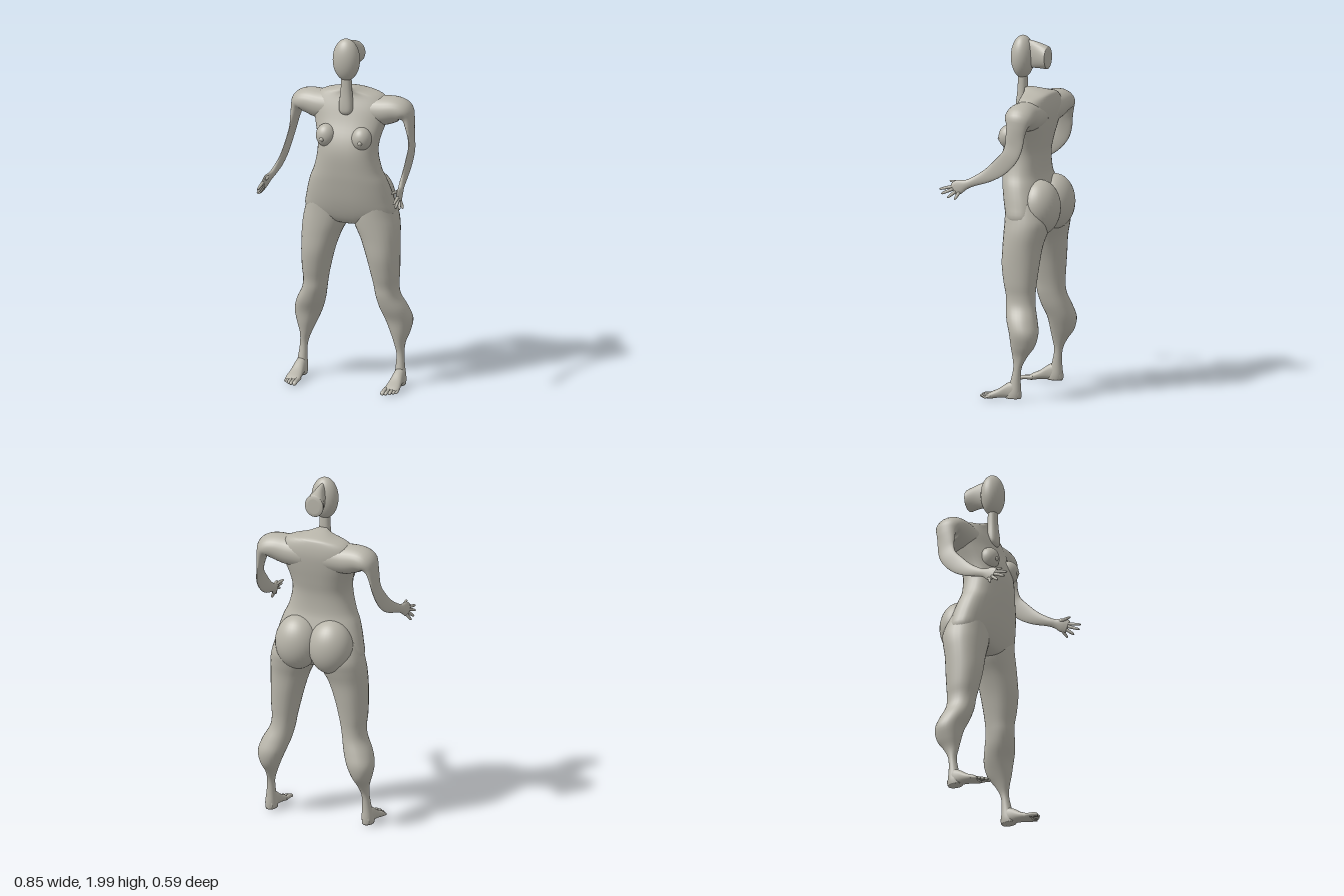
import * as THREE from 'three';

const skin = new THREE.MeshStandardMaterial({ color: 0xb8b5aa });
skin.name = 'warm grey';

// Catmull-Rom interpolation of number rows
function smoothRows(rows, steps) {
  const out = [], last = rows.length - 1;
  const row = i => rows[Math.min(Math.max(i, 0), last)];
  for (let i = 0; i < last; i++) {
    for (let s = 0; s < steps; s++) {
      const t = s / steps, [a, b, c, d] = [row(i - 1), row(i), row(i + 1), row(i + 2)];
      out.push(b.map((v, k) => v + 0.5 * t * (c[k] - a[k] +
        t * (2 * a[k] - 5 * v + 4 * c[k] - d[k] + t * (3 * (v - c[k]) + d[k] - a[k])))));
    }
  }
  out.push(rows[last]);
  return out;
}

// Closed skin over sections [x, y, z, halfAcross, halfDeep].
// "deep" is the starting depth direction; "along" fixes the section planes.
function loft(sections, { deep = [0, 0, 1], along = null, power = 2, sides = 28, steps = 4 } = {}) {
  const rows = smoothRows(sections, steps), pos = [], idx = [];
  const W = new THREE.Vector3(...deep), T = new THREE.Vector3(), N = new THREE.Vector3();
  const at = i => new THREE.Vector3(...rows[Math.min(Math.max(i, 0), rows.length - 1)].slice(0, 3));
  const bulge = v => Math.sign(v) * Math.abs(v) ** (2 / power);
  rows.forEach((r, i) => {
    if (along) T.set(...along);
    else T.copy(at(i + 1)).sub(at(i - 1)).normalize();
    W.addScaledVector(T, -W.dot(T)).normalize();
    N.crossVectors(W, T);
    for (let j = 0; j < sides; j++) {
      const a = (j / sides) * Math.PI * 2;
      const p = at(i).addScaledVector(N, r[3] * bulge(Math.cos(a))).addScaledVector(W, r[4] * bulge(Math.sin(a)));
      pos.push(p.x, p.y, p.z);
    }
  });
  const n = rows.length, first = n * sides, end = first + 1;
  pos.push(...at(0).toArray(), ...at(n - 1).toArray());
  for (let j = 0; j < sides; j++) {
    const k = (j + 1) % sides, top = (n - 1) * sides;
    for (let i = 0; i < n - 1; i++) {
      const a = i * sides + j, b = i * sides + k;
      idx.push(a, b, a + sides, b, b + sides, a + sides);
    }
    idx.push(first, k, j, end, top + j, top + k);
  }
  const g = new THREE.BufferGeometry();
  g.setAttribute('position', new THREE.Float32BufferAttribute(pos, 3));
  g.setIndex(idx);
  g.computeVertexNormals();
  return g;
}

function ellipsoid(x, y, z, rx, ry, rz) {
  return new THREE.SphereGeometry(1, 32, 24).scale(rx, ry, rz).translate(x, y, z);
}

function mirrored(geometry) {
  const g = geometry.clone().scale(-1, 1, 1), a = g.index.array;
  for (let i = 0; i < a.length; i += 3) [a[i], a[i + 1]] = [a[i + 1], a[i]];
  g.computeVertexNormals();
  return g;
}

export function createModel() {
  const model = new THREE.Group();
  model.name = 'figure';
  const add = (name, g) => {
    const mesh = new THREE.Mesh(g, skin);
    mesh.name = name;
    model.add(mesh);
  };
  const addPair = (name, g) => {
    add('left' + name, g);
    add('right' + name, mirrored(g));
  };
  const down = [0, -1, 0];

  // Head, neck and flared hair bun
  add('head', ellipsoid(0, 1.88, -0.035, 0.077, 0.12, 0.064));
  add('neck', loft([
    [0, 1.79, -0.035, 0.028, 0.025], [0, 1.7, -0.035, 0.032, 0.027], [0, 1.62, -0.03, 0.04, 0.03],
    [0, 1.585, -0.026, 0.036, 0.026], [0, 1.568, -0.025, 0.018, 0.015],
  ], { along: down, power: 2.4 }));
  add('hairBun', loft([
    [0, 1.9, -0.06, 0.02, 0.08], [0, 1.895, -0.12, 0.034, 0.074], [0, 1.885, -0.178, 0.054, 0.065],
    [0, 1.883, -0.188, 0.052, 0.06], [0, 1.883, -0.193, 0.035, 0.042],
  ], { along: [0, 0, -1], deep: [0, 1, 0] }));

  // Torso: y, half width, front z, back z
  add('torso', loft([
    [1.712, 0.025, -0.05, -0.1], [1.692, 0.085, -0.055, -0.19], [1.665, 0.18, -0.055, -0.212],
    [1.6, 0.225, -0.03, -0.222], [1.52, 0.205, 0.0, -0.213], [1.43, 0.178, 0.04, -0.195],
    [1.35, 0.17, 0.057, -0.18], [1.25, 0.192, 0.053, -0.18], [1.18, 0.222, 0.045, -0.197],
    [1.08, 0.25, 0.028, -0.225], [1.0, 0.258, 0.005, -0.225], [0.95, 0.17, -0.02, -0.2],
    [0.93, 0.05, -0.05, -0.17],
  ].map(([y, w, f, b]) => [0, y, (f + b) / 2, w, (f - b) / 2]), { along: down, power: 2.4, sides: 40 }));
  addPair('Breast', ellipsoid(0.105, 1.445, 0.005, 0.056, 0.065, 0.055));
  addPair('Nipple', ellipsoid(0.112, 1.432, 0.05, 0.014, 0.014, 0.016));
  addPair('Buttock', ellipsoid(0.1, 1.06, -0.18, 0.128, 0.155, 0.115));

  // Legs: y, inner x, outer x, front z, back z
  addPair('Leg', loft([
    [1.1, 0.03, 0.235, 0.0, -0.21], [1.0, 0.01, 0.264, 0.0, -0.25], [0.93, 0.025, 0.278, 0.0, -0.24],
    [0.85, 0.065, 0.282, 0.0, -0.22], [0.75, 0.1, 0.282, 0.0, -0.21], [0.65, 0.125, 0.28, -0.015, -0.2],
    [0.58, 0.14, 0.275, -0.03, -0.195], [0.52, 0.15, 0.285, -0.035, -0.2], [0.45, 0.165, 0.322, -0.05, -0.22],
    [0.38, 0.19, 0.342, -0.075, -0.236], [0.31, 0.22, 0.328, -0.085, -0.222], [0.25, 0.245, 0.308, -0.095, -0.18],
    [0.19, 0.262, 0.305, -0.103, -0.15], [0.12, 0.262, 0.312, -0.09, -0.144], [0.05, 0.257, 0.322, -0.07, -0.148],
    [0.016, 0.26, 0.32, -0.06, -0.146],
  ].map(([y, i, o, f, b]) => [(i + o) / 2, y, (f + b) / 2, (o - i) / 2, (f - b) / 2]), { along: down, power: 2.2 }));

  // Feet: z, inner x, outer x, bottom y, top y
  addPair('Foot', loft([
    [-0.145, 0.27, 0.31, 0.015, 0.06], [-0.11, 0.26, 0.32, 0.012, 0.11], [-0.07, 0.258, 0.322, 0.016, 0.1],
    [-0.02, 0.253, 0.328, 0.014, 0.066], [0.025, 0.248, 0.334, 0.006, 0.045], [0.05, 0.252, 0.325, 0.006, 0.03],
  ].map(([z, i, o, b, t]) => [(i + o) / 2, (b + t) / 2, z, (o - i) / 2, (t - b) / 2]),
  { along: [0, 0, 1], deep: [0, 1, 0], power: 2.3 }));
  [[0.259, 0.1, 0.012], [0.279, 0.1, 0.009], [0.297, 0.086, 0.009], [0.313, 0.072, 0.008], [0.326, 0.058, 0.008]]
    .forEach(([x, tip, r], i) => addPair('Toe' + (i + 1), loft([
      [x, 0.026, 0.015, r, r], [x, 0.022, tip - 0.03, r, r], [x, 0.016, tip - 0.008, r, r * 0.9],
      [x, 0.013, tip, r * 0.4, r * 0.4],
    ], { along: [0, 0, 1], deep: [0, 1, 0], sides: 12 })));

  // Shoulder flowing into a thin arm and palm
  addPair('Arm', loft([
    [0.05, 1.575, -0.13, 0.085, 0.088], [0.17, 1.58, -0.13, 0.084, 0.09], [0.25, 1.592, -0.135, 0.073, 0.087],
    [0.3, 1.582, -0.14, 0.06, 0.08], [0.325, 1.55, -0.14, 0.034, 0.062], [0.337, 1.5, -0.135, 0.022, 0.055],
    [0.347, 1.44, -0.13, 0.013, 0.052], [0.357, 1.38, -0.107, 0.01, 0.05], [0.361, 1.32, -0.05, 0.009, 0.048],
    [0.366, 1.27, 0.02, 0.011, 0.037], [0.376, 1.232, 0.1, 0.014, 0.025], [0.385, 1.215, 0.14, 0.014, 0.026],
    [0.392, 1.2, 0.18, 0.013, 0.04], [0.398, 1.185, 0.21, 0.009, 0.034],
  ]));

  // Fingers: root, then tip
  [
    [0.385, 1.222, 0.165, 0.37, 1.226, 0.243], [0.396, 1.205, 0.2, 0.4, 1.18, 0.293],
    [0.398, 1.19, 0.205, 0.407, 1.156, 0.28], [0.4, 1.175, 0.195, 0.415, 1.138, 0.24],
    [0.397, 1.17, 0.175, 0.42, 1.132, 0.195],
  ].forEach(([x, y, z, tx, ty, tz], i) => {
    const at = (t, r) => [x + (tx - x) * t, y + (ty - y) * t, z + (tz - z) * t, r, r];
    addPair(i ? 'Finger' + i : 'Thumb',
      loft([at(0, 0.009), at(0.55, 0.0085), at(0.9, 0.006), at(1, 0.002)], { deep: [1, 0, 0], sides: 10 }));
  });

  return model;
}
